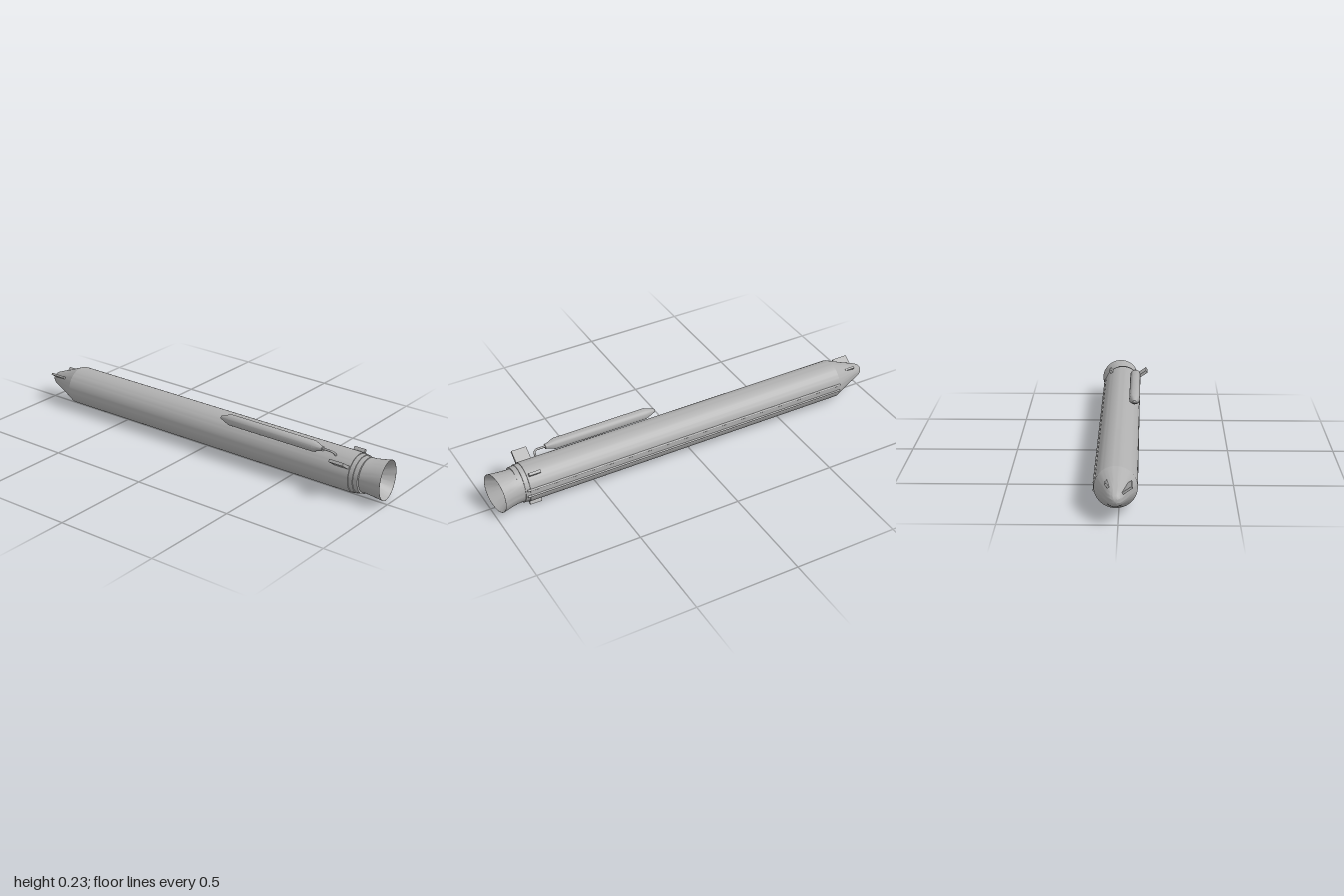
import * as THREE from 'three';
import { toCreasedNormals } from 'three/addons/utils/BufferGeometryUtils.js';

const CX = 0.013, CY = 0.104, R = 0.093;

export function createModel() {
  const model = new THREE.Group();
  model.name = 'rocket';
  const grey = new THREE.MeshStandardMaterial({ color: 0xb0b0b0 });
  grey.name = 'plain grey';

  function add(name, geometry, x = 0, y = 0, z = 0) {
    const mesh = new THREE.Mesh(geometry, grey);
    mesh.name = name;
    mesh.position.set(x, y, z);
    model.add(mesh);
    return mesh;
  }

  // Turned part along z; profile is [radius, z] from back to front
  function turned(profile, segments = 64) {
    const points = profile.map(([r, z]) => new THREE.Vector2(r, z));
    return new THREE.LatheGeometry(points, segments).rotateX(Math.PI / 2);
  }
  const crease = (geometry) => toCreasedNormals(geometry, 0.45);

  // Rounded nose cone
  add('noseCone', crease(turned([
    [0, -1], [0.012, -0.997], [0.022, -0.99], [0.031, -0.977], [0.038, -0.96],
    [0.047, -0.935], [0.06, -0.9], [0.093, -0.82],
  ])), CX, CY);

  // Main body with stepped collars at the tail
  add('body', crease(turned([
    [R, -0.82], [R, 0.84], [0.089, 0.84], [0.089, 0.862],
    [0.085, 0.862], [0.085, 0.885], [0, 0.885],
  ])), CX, CY);

  // Engine bell, hollow and swung towards +x
  const bell = turned([
    [0.081, 0.87], [0.081, 0.9], [0.085, 0.935], [0.0925, 0.981],
    [0.0915, 0.981], [0.039, 0.896], [0, 0.896],
  ]);
  const p = bell.attributes.position;
  for (let i = 0; i < p.count; i++) {
    const t = (p.getZ(i) - 0.87) / 0.111;
    p.setZ(i, p.getZ(i) - 0.148 * p.getX(i) * t);
    p.setX(i, p.getX(i) + 0.005 + 0.009 * t);
  }
  add('engineBell', crease(bell), CX, CY);

  // Pair of conduits along the left side
  for (const dy of [-0.015, 0.018]) {
    const rail = new THREE.CylinderGeometry(0.005, 0.005, 1.675, 12).rotateX(Math.PI / 2);
    add('conduit', crease(rail), CX + Math.sqrt(R * R - dy * dy), CY + dy, 0.0175);
  }

  // Side tank and its feed pipe
  add('sideTank', crease(turned([
    [0, 0.125], [0.008, 0.129], [0.026, 0.18], [0.026, 0.645],
    [0.012, 0.683], [0.012, 0.692], [0, 0.692],
  ], 32)), -0.056, 0.204);
  const path = new THREE.CatmullRomCurve3([
    [-0.056, 0.204, 0.688], [-0.056, 0.204, 0.72], [-0.055, 0.203, 0.738],
    [-0.049, 0.196, 0.747], [-0.03, 0.174, 0.749],
  ].map((v) => new THREE.Vector3(...v)));
  add('feedPipe', new THREE.TubeGeometry(path, 24, 0.005, 10));

  // Radial fins: angle in degrees, inner and outer radius, z range, thickness
  function fin(name, degrees, r0, r1, z0, z1, thickness) {
    const a = THREE.MathUtils.degToRad(degrees), r = (r0 + r1) / 2;
    const mesh = add(name, new THREE.BoxGeometry(r1 - r0, thickness, z1 - z0),
      CX + r * Math.cos(a), CY + r * Math.sin(a), (z0 + z1) / 2);
    mesh.rotation.z = a;
  }
  fin('largeTailFin', 146, 0.085, 0.153, 0.762, 0.835, 0.014);
  fin('smallTailFin', 53, 0.085, 0.109, 0.775, 0.832, 0.013);
  fin('smallTailFin', -64, 0.085, 0.11, 0.775, 0.832, 0.013);
  fin('noseFin', 146, 0.02, 0.085, -0.96, -0.88, 0.01);
  fin('smallNoseFin', 53, 0.02, 0.068, -0.935, -0.885, 0.01);

  return model;
}
